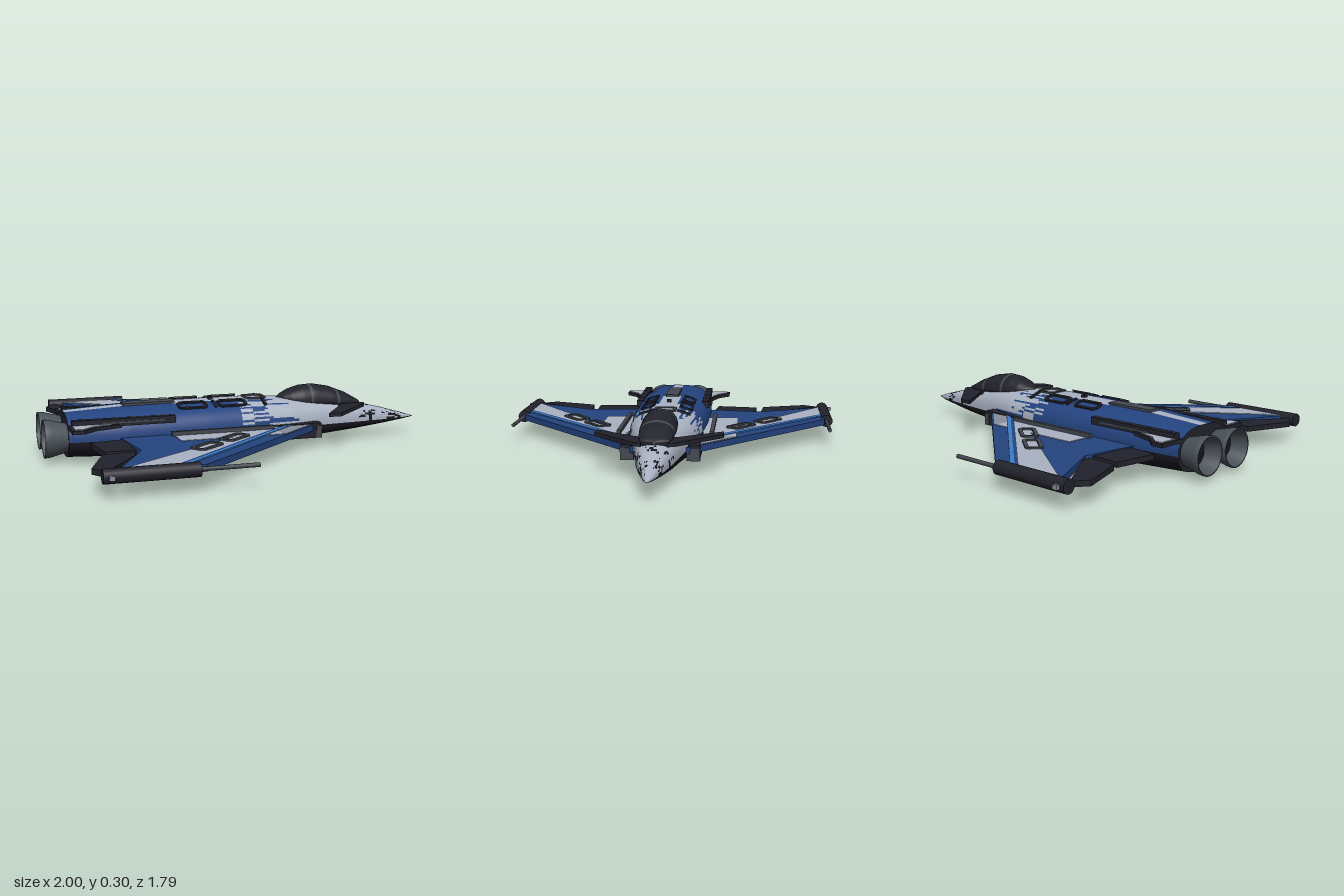
import * as THREE from 'three';

const mat = (name, color, side = THREE.FrontSide) => {
  const m = new THREE.MeshStandardMaterial({ color, side });
  m.name = name;
  return m;
};

export function createModel() {
  const root = new THREE.Group();
  root.name = 'deltaJet';

  const blue = mat('deep blue', 0x24437f);
  const grey = mat('pale grey', 0xaab2c2);
  const dark = mat('charcoal', 0x22222c);
  const belly = mat('belly black', 0x16161d);
  const panel = mat('panel grey', 0x43474f);
  const sky = mat('light blue', 0x3d7cc4);
  const metal = mat('nozzle metal', 0x4a5159, THREE.DoubleSide);
  const strake = mat('strake grey', 0x868d9a);

  const add = (name, geo, material, x = 0, y = 0, z = 0) => {
    const m = new THREE.Mesh(geo, material);
    m.name = name;
    m.position.set(x, y, z);
    root.add(m);
    return m;
  };
  const box = (name, material, sx, sy, sz, x, y, z) =>
    add(name, new THREE.BoxGeometry(sx, sy, sz), material, x, y, z);

  // Flat plate from an (x, z) outline, its top face at the given height
  const plate = (name, material, pts, side, top, depth) => {
    const shape = new THREE.Shape(pts.map(([x, z]) => new THREE.Vector2(x, z * side)));
    const geo = new THREE.ExtrudeGeometry(shape, { depth, bevelEnabled: false });
    return add(name, geo.rotateX(Math.PI / 2), material, 0, top, 0);
  };

  // Access-panel outline with cut corners, lying flat
  const frame = (name, w, h, t, x, y, z, rx, ry) => {
    const ring = (a, b, c) => [[a, b - c], [a - c, b], [c - a, b], [-a, b - c],
      [-a, c - b], [c - a, -b], [a - c, -b], [a, c - b]].map(p => new THREE.Vector2(...p));
    const shape = new THREE.Shape(ring(w / 2, h / 2, 0.015));
    shape.holes.push(new THREE.Path(ring(w / 2 - t, h / 2 - t, 0.008)));
    const geo = new THREE.ExtrudeGeometry(shape, { depth: 0.009, bevelEnabled: false });
    const m = add(name, geo.rotateX(Math.PI / 2), panel, x, y, z);
    m.rotation.set(rx, ry, 0);
    return m;
  };

  // Profile rows: x, half width, top, middle, bottom
  const sample = (rows, x) => {
    let k = 0;
    while (k < rows.length - 2 && x > rows[k + 1][0]) k++;
    const f = (x - rows[k][0]) / (rows[k + 1][0] - rows[k][0]);
    return rows[k].map((v, i) => v + (rows[k + 1][i] - v) * f);
  };
  const section = (rows, x, a, n) => {
    const [, w, top, mid, bot] = sample(rows, x);
    const c = Math.cos(a), s = Math.sin(a);
    const p = v => Math.sign(v) * Math.pow(Math.abs(v), 2 / n);
    return [x, mid + p(s) * (s > 0 ? top - mid : mid - bot), p(c) * w];
  };
  // Skin through the sections, each cell painted by a rule
  const loft = (name, rows, nx, na, n, mats, paint) => {
    const pos = [], cells = mats.map(() => []);
    const x0 = rows[0][0], x1 = rows[rows.length - 1][0];
    for (let i = 0; i <= nx; i++)
      for (let j = 0; j < na; j++)
        pos.push(...section(rows, x0 + (x1 - x0) * i / nx, 2 * Math.PI * j / na, n));
    for (let i = 0; i < nx; i++)
      for (let j = 0; j < na; j++) {
        const k = (j + 1) % na;
        const a = i * na + j, b = a + na, c = (i + 1) * na + k, d = i * na + k;
        const x = x0 + (x1 - x0) * (i + 0.5) / nx;
        const mid = section(rows, x, 2 * Math.PI * (j + 0.5) / na, n);
        cells[paint(mid, i, j)].push(a, b, c, a, c, d);
      }
    const geo = new THREE.BufferGeometry();
    geo.setAttribute('position', new THREE.Float32BufferAttribute(pos, 3));
    geo.setIndex(cells.flat());
    let start = 0;
    cells.forEach((c, i) => { geo.addGroup(start, c.length, i); start += c.length; });
    geo.computeVertexNormals();
    return add(name, geo, mats);
  };
  const hash = (a, b) => {
    const v = Math.sin(a * 127.1 + b * 311.7) * 43758.5453;
    return v - Math.floor(v);
  };

  // Fuselage with streaked blue-to-grey paint and a speckled nose
  const body = [
    [-0.89, 0.185, 0.225, 0.105, 0.012], [-0.6, 0.205, 0.24, 0.105, 0.0],
    [-0.2, 0.2, 0.245, 0.105, 0.006], [0.05, 0.185, 0.245, 0.105, 0.014],
    [0.25, 0.16, 0.235, 0.105, 0.024], [0.45, 0.118, 0.22, 0.1, 0.036],
    [0.65, 0.088, 0.187, 0.097, 0.052], [0.8, 0.058, 0.152, 0.094, 0.067],
    [0.93, 0.026, 0.115, 0.092, 0.081], [1, 0.001, 0.092, 0.091, 0.09]];
  loft('fuselage', body, 180, 80, 2.6, [blue, grey, belly], ([x, y, z], i, j) => {
    if (j >= 40) return 2;
    if (x > 0.64 && x < 0.95) {
      const patch = Math.sin(x * 45 + 1) + Math.sin(z * 70 + x * 20);
      if (hash(i >> 1, j >> 1) < 0.17 + 0.2 * patch) return 2;
    }
    if (Math.abs(z) < (x > -0.35 ? 0.055 : 0.032)) return 1;
    const low = j < 5 || j > 34;
    const edge = (low ? 0.12 : -0.02) + 0.27 * hash(j, 3);
    if (x > edge) return 1;
    return x > -0.03 && hash(i >> 3, j) < 0.4 ? 1 : 0;
  });
  const tail = [];
  for (let j = 0; j < 48; j++) {
    const p = section(body, -0.89, j / 24 * Math.PI, 2.6);
    tail.push(new THREE.Vector2(p[2], p[1]));
  }
  add('tailBulkhead', new THREE.ShapeGeometry(new THREE.Shape(tail)).rotateY(-Math.PI / 2), dark, -0.89);

  // Canopy with thin hoops
  const glass = [
    [0.21, 0.002, 0.237, 0.234, 0.23], [0.24, 0.045, 0.256, 0.23, 0.2],
    [0.28, 0.07, 0.276, 0.225, 0.19], [0.34, 0.083, 0.293, 0.22, 0.18],
    [0.41, 0.086, 0.297, 0.215, 0.18], [0.5, 0.086, 0.28, 0.21, 0.18],
    [0.59, 0.08, 0.245, 0.203, 0.17], [0.655, 0.066, 0.208, 0.196, 0.16],
    [0.668, 0.002, 0.198, 0.195, 0.17]];
  loft('canopy', glass, 60, 40, 2.1, [dark, panel], ([x]) =>
    Math.abs(x - 0.385) < 0.006 || Math.abs(x - 0.53) < 0.005 ? 1 : 0);

  // Dorsal details
  box('airBrake', panel, 0.26, 0.012, 0.07, -0.47, 0.246, 0);
  frame('dorsalHatch', 0.11, 0.11, 0.014, 0.085, 0.251, 0, 0, 0);
  box('dorsalSensor', dark, 0.022, 0.02, 0.022, -0.145, 0.248, 0);

  for (const s of [1, -1]) {
    const side = s > 0 ? 'left' : 'right';
    const part = name => side + name;

    // Shoulder panels and seams
    for (const x of [-0.265, -0.06]) frame(part('SpinePanel'), 0.15, 0.07, 0.013, x, 0.243, s * 0.102, s * 0.32, 0).material = dark;
    for (const x of [-0.15, 0.11])
      box(part('SpineSeam'), dark, 0.014, 0.01, 0.07, x, 0.236, s * 0.095).rotation.x = s * 0.32;

    // Delta wing and its painted bands
    plate(part('Wing'), blue, [[0.42, 0.11], [0.385, 0.155], [-0.4, 0.83], [-0.79, 0.83],
      [-0.61, 0.49], [-0.645, 0.22], [-0.645, 0.11]], s, 0.118, 0.032);
    plate(part('WingRootPanel'), grey, [[-0.39, 0.18], [0.12, 0.18], [0.12, 0.36], [-0.39, 0.36]], s, 0.121, 0.004);
    plate(part('WingStrake'), strake, [[0.12, 0.18], [0.345, 0.18], [0.135, 0.36], [0.12, 0.36]], s, 0.121, 0.004);
    plate(part('WingBand'), grey, [[-0.77, 0.815], [-0.53, 0.815], [0.16, 0.2], [0.08, 0.2], [-0.13, 0.36]], s, 0.122, 0.005);
    plate(part('WingBlueBand'), blue, [[-0.53, 0.815], [-0.5, 0.815], [0.19, 0.2], [0.16, 0.2]], s, 0.123, 0.006);
    plate(part('WingStripe'), sky, [[-0.505, 0.815], [-0.475, 0.815], [0.225, 0.19], [0.195, 0.19]], s, 0.124, 0.007);
    for (const [x, z] of [[-0.31, 0.52], [-0.135, 0.38]])
      frame(part('WingPanel'), 0.17, 0.085, 0.018, x, 0.13, s * z, 0, s * 0.66);
    box(part('WingRail'), panel, 0.52, 0.022, 0.02, -0.145, 0.129, s * 0.235);

    // Trailing-edge control surfaces with hinges
    plate(part('OuterElevon'), dark, [[-0.83, 0.815], [-0.88, 0.74], [-0.79, 0.5],
      [-0.635, 0.485], [-0.655, 0.56]], s, 0.114, 0.026);
    plate(part('InnerElevon'), dark, [[-0.77, 0.46], [-0.625, 0.455], [-0.64, 0.22],
      [-0.8, 0.24]], s, 0.114, 0.026);
    for (const z of [0.3, 0.52])
      box(part('ElevonHinge'), dark, 0.06, 0.024, 0.03, -0.64, 0.1, s * z);

    // Wingtip pod with probe
    const pod = new THREE.CylinderGeometry(0.033, 0.033, 0.42, 20).rotateZ(Math.PI / 2);
    add(part('TipPod'), pod, dark, -0.643, 0.102, s * 0.843);
    const probe = new THREE.CylinderGeometry(0.01, 0.01, 0.28, 10).rotateZ(Math.PI / 2);
    add(part('TipProbe'), probe, panel, -0.305, 0.102, s * 0.843);
    box(part('TipLamp'), strake, 0.024, 0.02, 0.05, -0.82, 0.102, s * 0.868);

    // Foreplane
    plate(part('Canard'), dark, [[0.68, 0.06], [0.67, 0.09], [0.45, 0.305], [0.38, 0.305],
      [0.53, 0.1], [0.53, 0.06]], s, 0.195, 0.018);

    // Rear shoulder fin and equipment rail
    plate(part('TailFin'), dark, [[-0.89, 0.15], [-0.89, 0.3], [-0.83, 0.3], [-0.77, 0.245],
      [-0.64, 0.2], [-0.64, 0.15]], s, 0.185, 0.018);
    plate(part('TailFinPaint'), grey, [[-0.875, 0.19], [-0.875, 0.287], [-0.838, 0.287],
      [-0.78, 0.235], [-0.69, 0.205], [-0.69, 0.19]], s, 0.189, 0.005);
    box(part('ShoulderRail'), dark, 0.5, 0.036, 0.036, -0.625, 0.193, s * 0.18);
    box(part('RailInset'), panel, 0.3, 0.008, 0.008, -0.58, 0.193, s * 0.197);
    for (const x of [-0.83, -0.72, -0.6, -0.48])
      box(part('RailBolt'), panel, 0.016, 0.006, 0.016, x, 0.212, s * 0.18);

    // Side intake
    box(part('Intake'), dark, 0.34, 0.075, 0.055, 0.22, 0.087, s * 0.163);
    box(part('IntakeLip'), panel, 0.03, 0.06, 0.065, 0.378, 0.08, s * 0.16);

    // Flared engine nozzle
    const bell = [[0.07, 0], [0.077, 0.03], [0.09, 0.08], [0.093, 0.11], [0.084, 0.11], [0.066, 0.03]]
      .map(p => new THREE.Vector2(...p));
    add(part('Nozzle'), new THREE.LatheGeometry(bell, 32).rotateZ(Math.PI / 2), metal, -0.89, 0.115, s * 0.102);
    add(part('NozzleCore'), new THREE.CircleGeometry(0.07, 32).rotateY(-Math.PI / 2), belly, -0.918, 0.115, s * 0.102);
  }
  return root;
}
